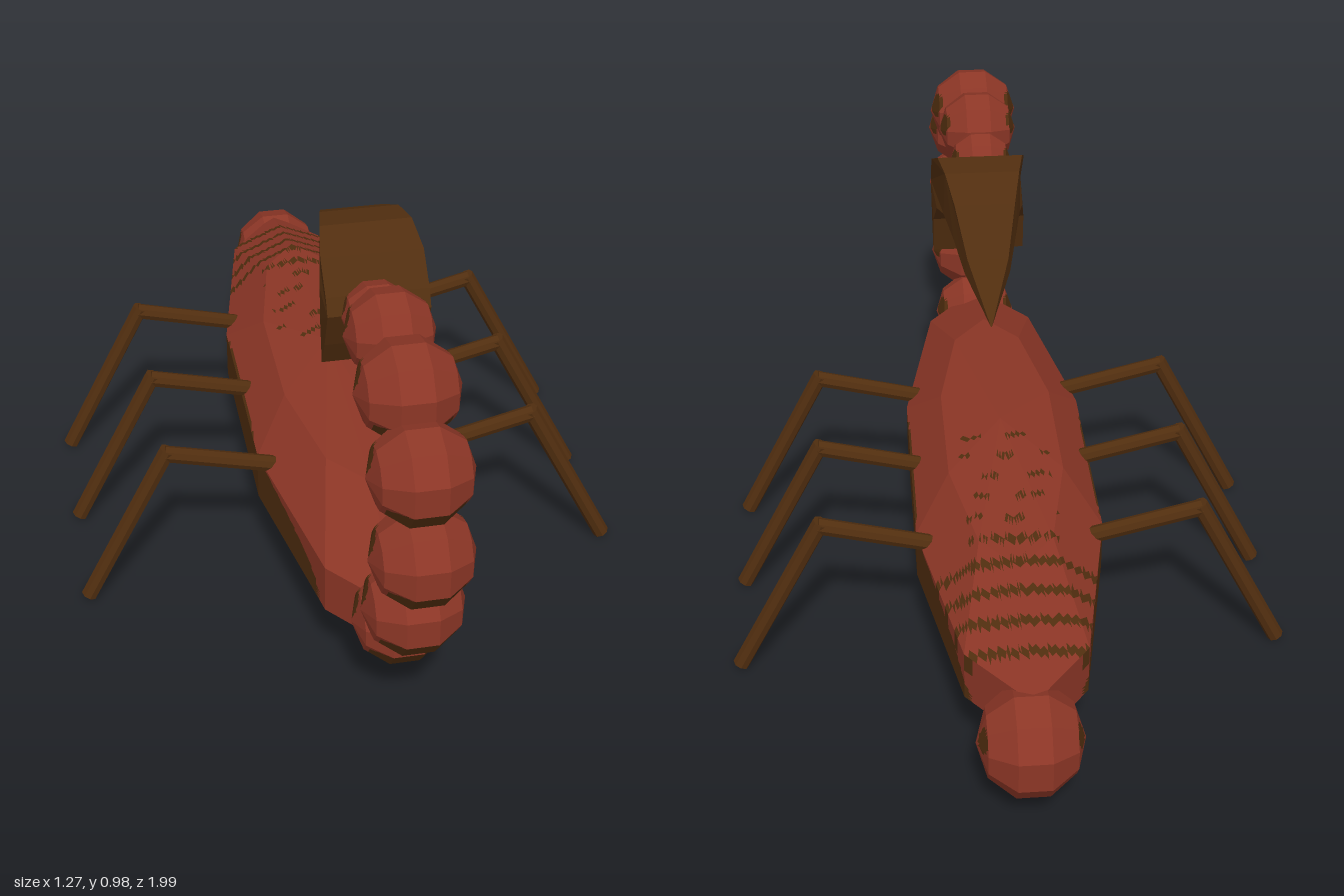
import * as THREE from 'three';

const red = new THREE.MeshStandardMaterial({ name: 'rust red', color: 0x8c3626 });
const brown = new THREE.MeshStandardMaterial({ name: 'dark brown', color: 0x512e0f });

// Splits flat facets into small cells and sorts them into red and brown by a rule
function paint(geometry, cells, isBrown) {
  const p = geometry.toNonIndexed().attributes.position;
  const lists = [[], []];
  const centre = new THREE.Vector3();
  for (let i = 0; i < p.count; i += 3) {
    const [a, b, c] = [0, 1, 2].map((k) => new THREE.Vector3().fromBufferAttribute(p, i + k));
    const ab = b.clone().sub(a).divideScalar(cells);
    const ac = c.clone().sub(a).divideScalar(cells);
    const at = (u, v) => a.clone().addScaledVector(ab, u).addScaledVector(ac, v);
    const add = (...corners) => {
      centre.set(0, 0, 0);
      corners.forEach((q) => centre.addScaledVector(q, 1 / 3));
      const list = lists[isBrown(centre) ? 1 : 0];
      corners.forEach((q) => list.push(q.x, q.y, q.z));
    };
    for (let u = 0; u < cells; u++) {
      for (let v = 0; v < cells - u; v++) {
        add(at(u, v), at(u + 1, v), at(u, v + 1));
        if (u + v < cells - 1) add(at(u + 1, v), at(u + 1, v + 1), at(u, v + 1));
      }
    }
  }
  const out = new THREE.BufferGeometry();
  out.setAttribute('position', new THREE.Float32BufferAttribute(lists[0].concat(lists[1]), 3));
  out.addGroup(0, lists[0].length / 3, 0);
  out.addGroup(lists[0].length / 3, lists[1].length / 3, 1);
  out.computeVertexNormals();
  return out;
}

function named(name, geometry, material) {
  const mesh = new THREE.Mesh(geometry, material);
  mesh.name = name;
  return mesh;
}

// Brown flanks, stripes behind the head and short dashes along the back
function bodyMarking({ x, y, z }) {
  const t = (z + 0.09) / 0.66;
  if (Math.abs(t) < 1) {
    const bulge = Math.pow(1 - t * t, 0.45);
    if (y > 0.215 - 0.075 * bulge && y < 0.215 + 0.115 * bulge) return true;
  }
  const wave = (((z + Math.abs(x) * -0.25 + 1) / 0.072) % 1 + 1) % 1;
  if (z < -0.47 && z > -0.82 && y > 0.28) return wave < 0.27;
  return z < -0.1 && z >= -0.47 && y > 0.4 && Math.abs(x) < 0.1 && wave < 0.16 && Math.sin(x * 60 + z * 25) > 0;
}

function ball(name, z, y, r, rule) {
  const geometry = new THREE.SphereGeometry(r, 10, 5).rotateZ(Math.PI / 2);
  const mesh = named(name, paint(geometry, 6, rule), [red, brown]);
  mesh.position.set(0.005, y, z);
  return mesh;
}

// Rod between two points
function rod(name, a, b, r) {
  const axis = b.clone().sub(a);
  const mesh = named(name, new THREE.CylinderGeometry(r, r, axis.length(), 8).toNonIndexed(), brown);
  mesh.geometry.computeVertexNormals();
  mesh.position.copy(a).add(b).multiplyScalar(0.5);
  mesh.quaternion.setFromUnitVectors(new THREE.Vector3(0, 1, 0), axis.normalize());
  return mesh;
}

// Curved blade, wide at the root and tapering to a point
function makeStinger() {
  const profile = [
    [0.42, 0.83], [0.40, 0.865], [0.34, 0.925], [0.27, 0.96], [0.2, 0.953], [0.12, 0.912],
    [0.03, 0.82], [-0.066, 0.7], [0.05, 0.775], [0.13, 0.818], [0.22, 0.84], [0.29, 0.82],
    [0.33, 0.77], [0.352, 0.675], [0.385, 0.74],
  ].map(([z, y]) => new THREE.Vector2(z, y));
  const geometry = new THREE.ExtrudeGeometry(new THREE.Shape(profile), { depth: 1, bevelEnabled: false });
  geometry.rotateY(-Math.PI / 2).translate(0.5, 0, 0);
  const p = geometry.attributes.position;
  for (let i = 0; i < p.count; i++) {
    const u = Math.min(1, Math.max(0.0005, (p.getZ(i) + 0.066) / 0.4));
    p.setX(i, 0.02 + p.getX(i) * 0.218 * Math.pow(u, 0.6));
  }
  geometry.computeVertexNormals();
  return named('stinger', geometry, brown);
}

export function createModel() {
  const model = new THREE.Group();
  model.name = 'scorpion';

  // Faceted long body
  const bodyShape = new THREE.SphereGeometry(1, 10, 5).rotateY(Math.PI / 10);
  bodyShape.scale(0.232, 0.187, 0.87).translate(0, 0.265, -0.065);
  model.add(named('body', paint(bodyShape, 16, bodyMarking), [red, brown]));

  // Head with an eye patch on each side
  const head = ball('head', -0.88, 0.215, 0.122, (c) =>
    Math.hypot(c.y - 0.03, c.z + 0.03) < 0.026 && Math.abs(c.x) > 0.05);
  head.scale.x = 0.92;
  model.add(head);

  // Curled tail: z, y, radius
  const tail = new THREE.Group();
  tail.name = 'tail';
  [
    [0.73, 0.28, 0.103], [0.84, 0.41, 0.107], [0.9, 0.585, 0.107], [0.87, 0.76, 0.107],
    [0.745, 0.865, 0.107], [0.58, 0.888, 0.094], [0.465, 0.855, 0.074],
  ].forEach(([z, y, r], i) => {
    tail.add(ball('tailSegment' + (i + 1), z, y, r, (c) => {
      const nx = c.x / r, ny = c.y / r, nz = c.z / r;
      const lowerPatch = ny < -0.3 && nz > 0.1 && Math.abs(nx) < 0.7;
      const sideSpot = Math.abs(nx) > 0.45 && Math.hypot(ny - 0.25, nz + 0.25) < 0.27;
      return lowerPatch || sideSpot;
    }));
  });
  model.add(tail, makeStinger());

  // Three pairs of bent legs
  for (const side of [1, -1]) {
    [0.235, -0.065, -0.365].forEach((z, i) => {
      const point = (x, y) => new THREE.Vector3(side * x, y, z);
      const leg = new THREE.Group();
      leg.name = (side > 0 ? 'left' : 'right') + 'Leg' + (i + 1);
      leg.add(
        rod('upperLeg', point(0.17, 0.328), point(0.425, 0.392), 0.019),
        rod('lowerLeg', point(0.417, 0.402), point(0.619, 0.011), 0.019),
      );
      model.add(leg);
    });
  }
  return model;
}
